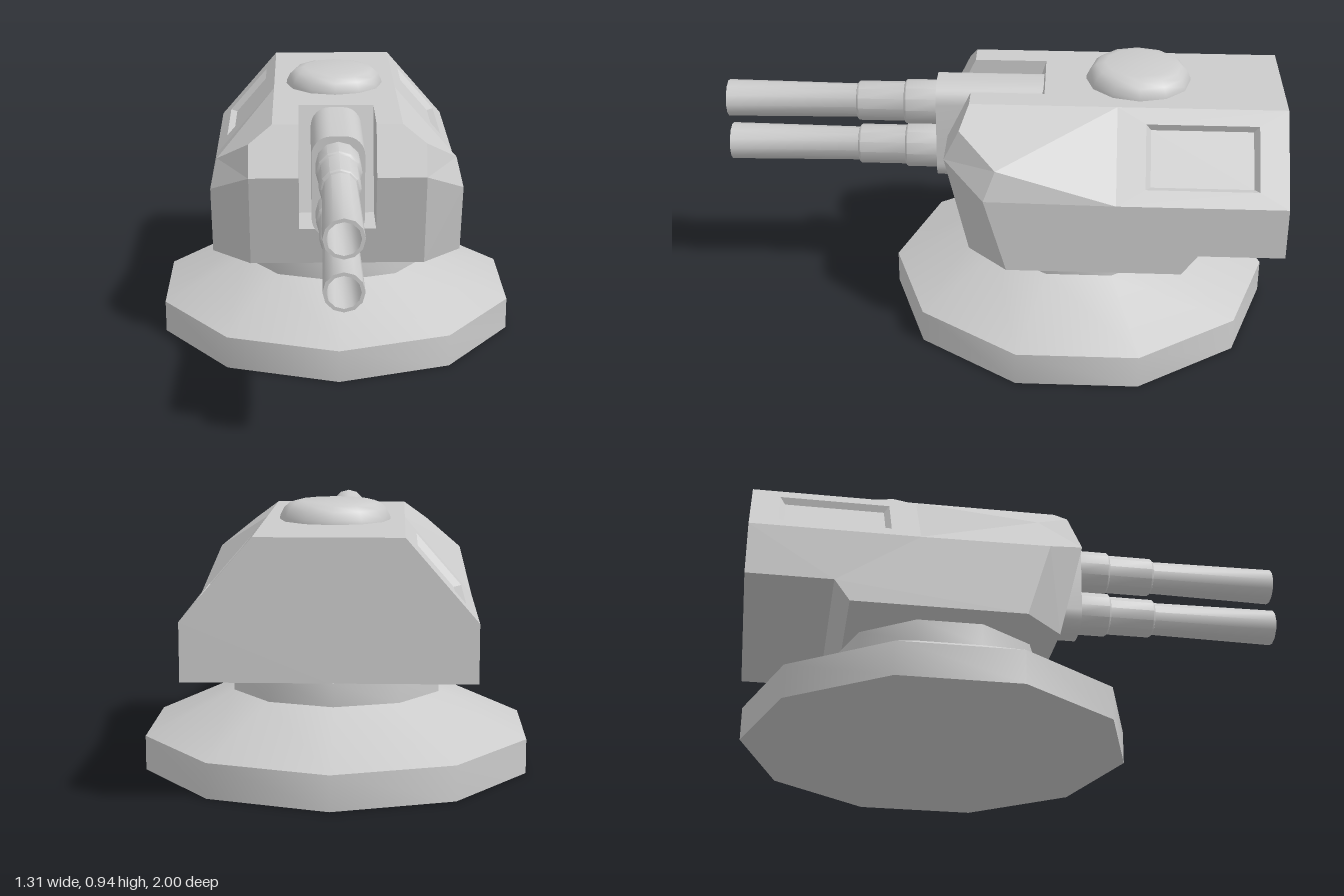
import * as THREE from 'three';
import { toCreasedNormals } from 'three/addons/utils/BufferGeometryUtils.js';

const material = new THREE.MeshStandardMaterial({ color: 0xcccccc });

function addMesh(parent, name, geometry) {
  const mesh = new THREE.Mesh(geometry, material);
  mesh.name = name;
  parent.add(mesh);
  return mesh;
}

// Turned part: profile of [radius, height] pairs, smooth around and sharp at steps
function turned(profile, sides) {
  const points = profile.map(([r, y]) => new THREE.Vector2(r, y));
  return toCreasedNormals(new THREE.LatheGeometry(points, sides), 0.68);
}

// Flat convex faces given for the +x half and mirrored; each is turned towards its direction
function mirroredFaces(faces) {
  const out = [];
  for (const side of [1, -1]) {
    for (const [corners, direction] of faces) {
      const p = corners.map(([x, y, z]) => new THREE.Vector3(x * side, y, z));
      const dir = new THREE.Vector3(direction[0] * side, direction[1], direction[2]);
      const normal = p[1].clone().sub(p[0]).cross(p[2].clone().sub(p[0]));
      if (normal.dot(dir) < 0) p.reverse().unshift(p.pop());
      for (let i = 1; i < p.length - 1; i++) {
        for (const v of [p[0], p[i], p[i + 1]]) out.push(v.x, v.y, v.z);
      }
    }
  }
  const geometry = new THREE.BufferGeometry();
  geometry.setAttribute('position', new THREE.Float32BufferAttribute(out, 3));
  geometry.computeVertexNormals();
  return geometry;
}

function bodyGeometry() {
  const bottom = 0.345, top = 0.875, w = 0.14;
  const X = [1, 0, 0], Y = [0, 1, 0], Z = [0, 0, 1], down = [0, -1, 0], back = [0, 0, -1];
  // Front corner column, chamfer column and shoulder points
  const a0 = [0.32, bottom, 0.105], a1 = [0.32, 0.70, 0.19];
  const a2 = [0.32, 0.811, 0.136], a3 = [0.235, top, 0.105];
  const b0 = [0.465, bottom, -0.035], b1 = [0.465, 0.615, 0.045], b2 = [0.44, 0.72, 0.005];
  const c2 = [0.465, 0.61, -0.41], c3 = [0.235, top, -0.41];
  const d2 = [0.465, 0.61, -1], d3 = [0.235, top, -1];
  const slotFront = 0.14, slotFloor = 0.49;
  const faces = [
    // front plates beside and below the gun slot
    [[[0, bottom, 0.105], [w, bottom, 0.105], [w, slotFloor, slotFront], [0, slotFloor, slotFront]], Z],
    [[[w, bottom, 0.105], a0, a1, [w, 0.70, 0.19]], Z],
    [[[w, 0.70, 0.19], a1, a2, a3, [w, top, 0.105]], Z],
    // corner chamfers
    [[a0, b0, b1, a1], [1, 0, 1]],
    [[a1, b1, b2, a2], [1, 0, 1]],
    // sides
    [[[0.465, 0.42, -0.70], [0.465, bottom, -0.645], b0, b1, c2, d2, [0.465, 0.42, -1]], X],
    [[b1, c2, b2], X],
    // roof
    [[[w, top, 0.105], a3, [0.235, top, -0.155], [w, top, -0.155]], Y],
    [[[0, top, -0.155], [0.235, top, -0.155], d3, [0, top, -1]], Y],
    [[a3, a2, b2, c3], [1, 1, 0]],
    [[c3, b2, c2], [1, 1, 0]],
    // gun slot
    [[[w, slotFloor, -0.04], [w, slotFloor, slotFront], [w, 0.70, 0.19], [w, top, 0.105], [w, top, -0.155]], [-1, 0, 0]],
    [[[0, slotFloor, -0.04], [w, slotFloor, -0.04], [w, top, -0.155], [0, top, -0.155]], Z],
    [[[0, slotFloor, -0.04], [w, slotFloor, -0.04], [w, slotFloor, slotFront], [0, slotFloor, slotFront]], Y],
    // underside and rear
    [[[0, bottom, 0.105], a0, b0, [0.465, bottom, -0.645], [0, bottom, -0.645]], down],
    [[[0, bottom, -0.645], [0.465, bottom, -0.645], [0.465, 0.42, -0.70], [0, 0.42, -0.70]], back],
    [[[0, 0.42, -0.70], [0.465, 0.42, -0.70], [0.465, 0.42, -1], [0, 0.42, -1]], down],
    [[[0, 0.42, -1], [0.465, 0.42, -1], d2, d3, [0, top, -1]], back],
  ];
  // sloped shoulder with a recessed panel
  const onSlope = (t, z, depth) => [0.235 + 0.23 * t - 0.755 * depth, top - 0.265 * t - 0.655 * depth, z];
  const loop = (t0, t1, z0, z1, depth) =>
    [[t0, z0], [t1, z0], [t1, z1], [t0, z1]].map(([t, z]) => onSlope(t, z, depth));
  const outer = loop(0, 1, -0.41, -1, 0);
  const rim = loop(0.17, 0.83, -0.51, -0.90, 0);
  const floor = loop(0.21, 0.79, -0.528, -0.882, 0.022);
  for (let i = 0; i < 4; i++) {
    const j = (i + 1) % 4;
    faces.push([[outer[i], outer[j], rim[j], rim[i]], [1, 1, 0]]);
    faces.push([[rim[i], rim[j], floor[j], floor[i]], [1, 1, 0]]);
  }
  faces.push([floor, [1, 1, 0]]);
  return mirroredFaces(faces);
}

// Upright rounded block that carries both barrels
function mantletGeometry() {
  const x = 0.095, y0 = 0.493, y1 = 0.868, r = 0.07;
  const s = new THREE.Shape();
  s.moveTo(-x + r, y0);
  s.absarc(x - r, y0 + r, r, -Math.PI / 2, 0);
  s.absarc(x - r, y1 - r, r, 0, Math.PI / 2);
  s.absarc(-x + r, y1 - r, r, Math.PI / 2, Math.PI);
  s.absarc(-x + r, y0 + r, r, Math.PI, Math.PI * 1.5);
  const g = new THREE.ExtrudeGeometry(s, { depth: 0.385, bevelEnabled: false, curveSegments: 4 });
  return toCreasedNormals(g.translate(0, 0, -0.15), 0.68);
}

export function createModel() {
  const model = new THREE.Group();
  model.name = 'twinGunTurret';

  // Ten-sided pedestal with sloped skirt and neck
  addMesh(model, 'pedestal', turned([
    [0, 0], [0.69, 0], [0.69, 0.12], [0.375, 0.265], [0.375, 0.345], [0, 0.345],
  ], 10)).position.z = -0.29;

  addMesh(model, 'turretBody', bodyGeometry());

  // Roof hatch
  addMesh(model, 'roofHatch', turned([
    [0.187, 0.872], [0.185, 0.888], [0.172, 0.914], [0.152, 0.932], [0.12, 0.94], [0, 0.94],
  ], 12)).position.z = -0.488;

  addMesh(model, 'gunMantlet', mantletGeometry());

  // Stepped barrels with hollow muzzles
  const barrel = turned([
    [0.081, 0.2], [0.081, 0.346], [0.076, 0.352], [0.072, 0.354], [0.072, 0.518], [0.067, 0.525],
    [0.061, 0.527], [0.067, 1], [0.055, 1], [0.052, 0.7], [0, 0.7],
  ], 12).rotateX(Math.PI / 2);
  [['upperBarrel', 0.768], ['lowerBarrel', 0.592]].forEach(([name, y]) => {
    addMesh(model, name, barrel).position.y = y;
  });

  return model;
}
